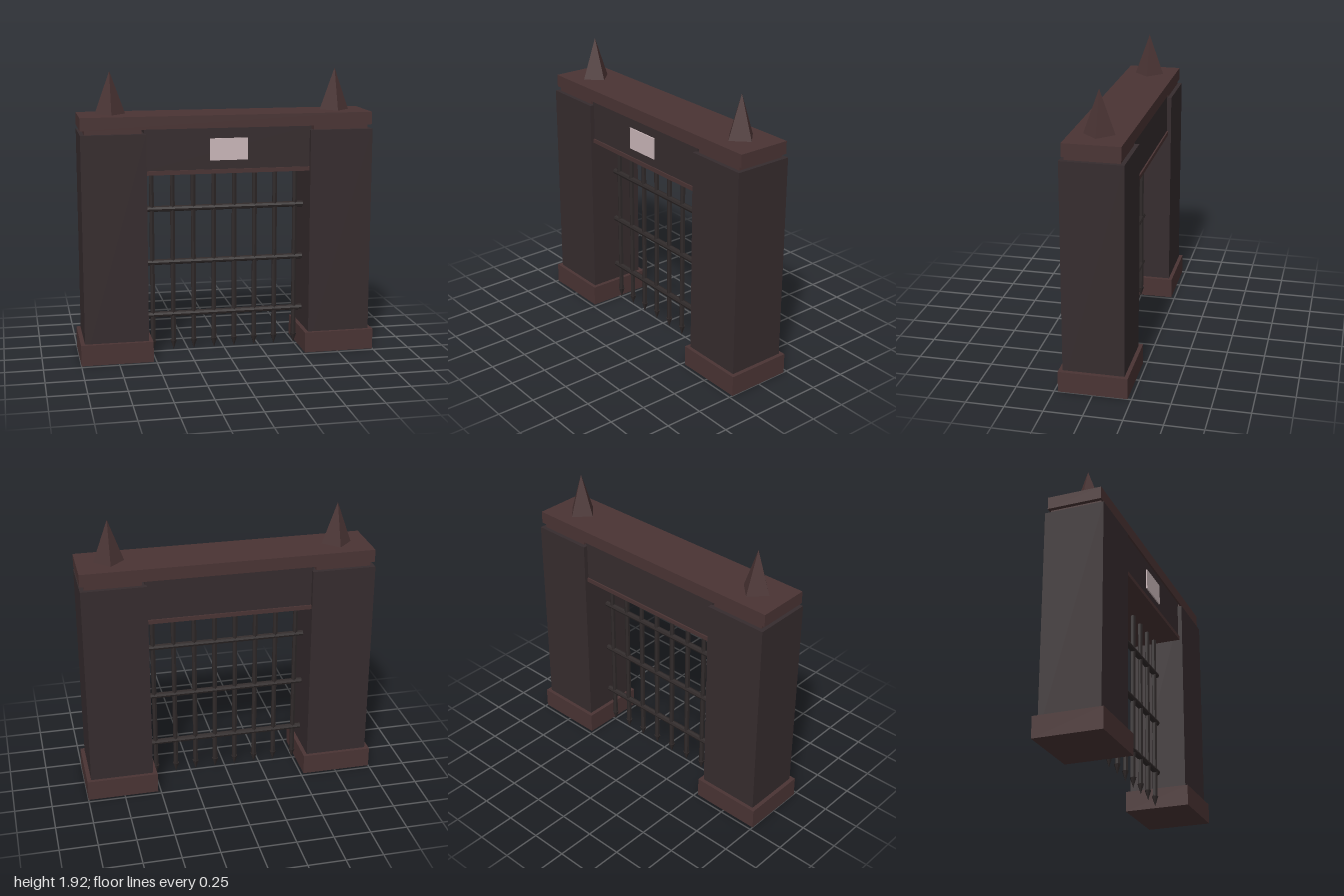
import * as THREE from 'three';

export function createModel() {
  const gate = new THREE.Group();
  gate.name = 'portcullisGate';

  const material = (name, color) => {
    const m = new THREE.MeshStandardMaterial({ color, flatShading: true });
    m.name = name;
    return m;
  };
  const stone = material('dark stone', 0x362c2e);
  const trim = material('reddish trim', 0x4a3434);
  const iron = material('dark iron', 0x2f2929);
  const pale = material('pale plaque', 0xcbb8ba);

  const add = (parent, name, geometry, mat, x, y, z = 0) => {
    const mesh = new THREE.Mesh(geometry, mat);
    mesh.name = name;
    mesh.position.set(x, y, z);
    parent.add(mesh);
    return mesh;
  };
  // Box given by centre x, bottom and top heights
  const box = (parent, name, mat, x, y0, y1, width, depth) =>
    add(parent, name, new THREE.BoxGeometry(width, y1 - y0, depth), mat, x, (y0 + y1) / 2);

  // Pillars with base, neck and pointed finial
  for (const side of [1, -1]) {
    const pillar = new THREE.Group();
    pillar.name = side > 0 ? 'leftPillar' : 'rightPillar';
    pillar.position.x = side * 0.76;
    gate.add(pillar);
    box(pillar, 'base', trim, 0, 0, 0.14, 0.48, 0.45);
    box(pillar, 'shaft', stone, 0, 0.01, 1.525, 0.425, 0.4);
    box(pillar, 'neck', trim, 0, 1.525, 1.555, 0.37, 0.345);
    add(pillar, 'finial', new THREE.ConeGeometry(0.1, 0.28, 4), trim, 0, 1.78);
  }

  // Beam across the opening
  box(gate, 'capSlab', trim, 0, 1.553, 1.637, 1.945, 0.365);
  box(gate, 'lintel', stone, 0, 1.28, 1.553, 1.115, 0.34);
  box(gate, 'lintelEdge', trim, 0, 1.252, 1.28, 1.105, 0.36);
  add(gate, 'plaque', new THREE.BoxGeometry(0.255, 0.145, 0.009), pale, 0, 1.412, 0.174);

  // Hanging grille: pointed uprights and cross rails
  const grille = new THREE.Group();
  grille.name = 'grille';
  gate.add(grille);
  const barGeometry = new THREE.CylinderGeometry(0.017, 0.017, 1.2, 6);
  const tipGeometry = new THREE.ConeGeometry(0.023, 0.07, 6).rotateX(Math.PI);
  for (let i = 0; i < 8; i++) {
    const x = (i - 3.5) * 0.141;
    add(grille, 'upright', barGeometry, iron, x, 0.67);
    add(grille, 'uprightTip', tipGeometry, iron, x, 0.04);
  }
  const railGeometry = new THREE.CylinderGeometry(0.02, 0.02, 1.12, 8).rotateZ(Math.PI / 2);
  for (const y of [0.262, 0.628, 0.995]) add(grille, 'rail', railGeometry, iron, 0, y);

  return gate;
}
